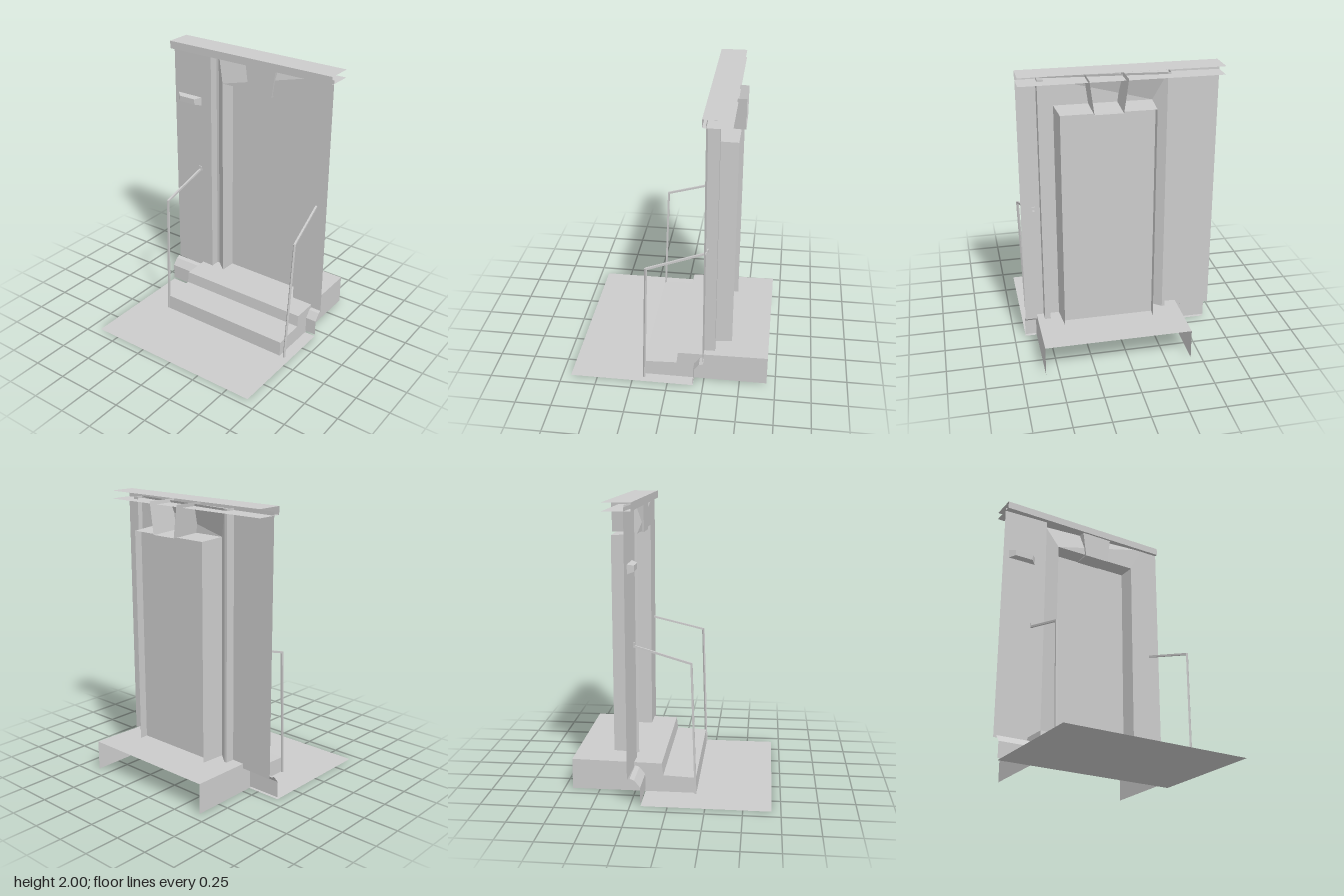
import * as THREE from 'three';

export function createModel() {
  const model = new THREE.Group();
  const mat = new THREE.MeshStandardMaterial({
    color: 0xcccccc, flatShading: true, side: THREE.DoubleSide,
  });
  const add = (name, geo) => {
    const mesh = new THREE.Mesh(geo, mat);
    mesh.name = name;
    model.add(mesh);
    return mesh;
  };

  // Open sheet made of four-cornered faces
  const sheet = (name, quads) => {
    const pos = [];
    for (const [a, b, c, d] of quads) pos.push(...a, ...b, ...c, ...a, ...c, ...d);
    const geo = new THREE.BufferGeometry();
    geo.setAttribute('position', new THREE.Float32BufferAttribute(pos, 3));
    geo.computeVertexNormals();
    return add(name, geo);
  };

  // Sheet with an [x, y] profile swept along z
  const sweep = (name, profile, z0, z1) => sheet(name, profile.slice(1).map(([x, y], i) => {
    const [px, py] = profile[i];
    return [[px, py, z0], [px, py, z1], [x, y, z1], [x, y, z0]];
  }));

  // Upright sheet following [x, z, top] stations up from a base height
  const upright = (name, stations, base) => sheet(name, stations.slice(1).map(([x, z, top], i) => {
    const [px, pz, ptop] = stations[i];
    return [[px, base, pz], [x, base, z], [x, top, z], [px, ptop, pz]];
  }));

  // Pavement, wall base and cornice, all full width
  sweep('pavement', [[-0.69, 0], [0.18, 0]], -0.67, 0.67);
  sweep('wallBase', [[0.18, 0.015], [0.18, 0.13], [0.22, 0.18], [0.25, 0.19]], -0.67, 0.67);
  sweep('cornice', [[0.405, 2], [0.22, 2], [0.22, 1.945], [0.405, 1.945]], -0.67, 0.67);

  // Steps: treads and risers with closed sides, open underneath and behind
  const steps = [[-0.175, 0.005], [-0.17, 0.115], [0.055, 0.125], [0.065, 0.21], [0.69, 0.22]];
  sweep('steps', steps, -0.425, 0.59);
  const side = new THREE.Shape([...steps, [0.69, 0.005]].map(([x, y]) => new THREE.Vector2(x, y)));
  for (const z of [-0.425, 0.59]) add('stepSide', new THREE.ShapeGeometry(side)).position.z = z;

  // Wall on both sides of the doorway, the right one slightly out of line
  upright('wallLeft', [[0.245, 0.67, 1.97], [0.245, 0.54, 1.97]], 0.18);
  upright('wallRight', [[0.268, -0.67, 1.97], [0.252, -0.33, 1.97]], 0.18);

  // Surround: flat on the left with a return behind it, splayed on the right
  upright('surroundLeft', [
    [0.32, 0.5, 1.96], [0.32, 0.54, 1.96], [0.245, 0.54, 1.96], [0.245, 0.43, 1.76],
  ], 0.175);
  upright('surroundRight', [
    [0.252, -0.33, 1.96], [0.32, -0.33, 1.96], [0.32, -0.31, 1.96], [0.25, -0.225, 1.76],
  ], 0.175);
  sheet('surroundHead', [
    [[0.25, 1.76, -0.225], [0.245, 1.76, 0.43], [0.245, 1.96, 0.54], [0.32, 1.96, -0.31]],
  ]);

  // Reveal of the doorway and the leaf set inside it
  upright('revealLeft', [[0.245, 0.43, 1.76], [0.43, 0.415, 1.75]], 0.21);
  upright('revealRight', [[0.25, -0.225, 1.76], [0.43, -0.215, 1.75]], 0.21);
  sheet('soffit', [
    [[0.245, 1.76, 0.43], [0.25, 1.76, -0.225], [0.43, 1.75, -0.215], [0.43, 1.75, 0.415]],
  ]);
  upright('doorLeaf', [[0.368, 0.42, 1.753], [0.368, -0.218, 1.753]], 0.21);

  // Keystone: tapered front, sides and bottom, open at the top and back
  const key = (x) => [[x, 1.97, 0.23], [x, 1.75, 0.2], [x, 1.75, 0.01], [x, 1.97, -0.02]];
  const front = key(0.235), back = key(0.46);
  sheet('keystone', [front, ...[0, 1, 2].map((i) => [front[i], front[i + 1], back[i + 1], back[i]])]);

  // Small bevelled plaque on the wall
  const plaque = new THREE.CylinderGeometry(0.022, 0.034, 0.04, 4, 1);
  plaque.rotateY(Math.PI / 4).rotateZ(Math.PI / 2).scale(1, 1.3, 4.4);
  add('plaque', plaque).position.set(0.236, 1.58, -0.525);

  // Handrails: square bars from the ground up and back to the wall
  const bar = (name, a, b) => {
    const from = new THREE.Vector3(...a), to = new THREE.Vector3(...b);
    const geo = new THREE.BoxGeometry(0.014, 0.014, from.distanceTo(to));
    const mesh = add(name, geo);
    mesh.position.copy(from).lerp(to, 0.5);
    mesh.lookAt(to);
  };
  for (const [foot, bend, end, wall] of [[0.625, 0.655, 0.585, 0.265], [-0.435, -0.435, -0.43, 0.25]]) {
    bar('railPost', [-0.17, 0.005, foot], [-0.138, 0.93, bend]);
    bar('handrail', [-0.14, 0.925, bend], [wall, 1.037, end]);
    add('railBracket', new THREE.BoxGeometry(0.008, 0.035, 0.025)).position.set(wall - 0.005, 1.045, end);
  }

  return model;
}
